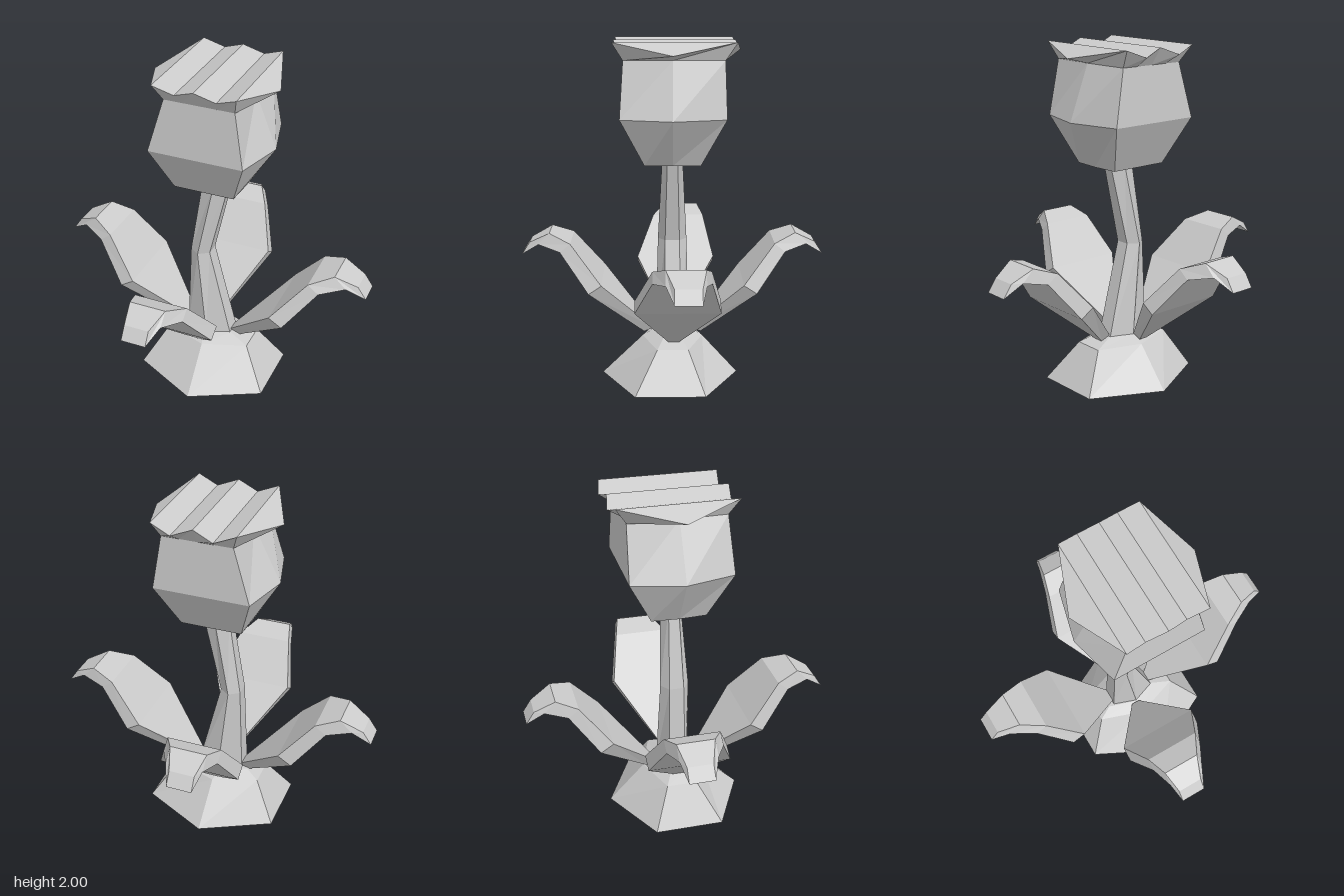
import * as THREE from 'three';

const material = new THREE.MeshStandardMaterial({ color: 0xcccccc, flatShading: true });

// Skin a list of equal-length rings (even point count), closing both ends with strips.
function loft(name, rings, flip = false) {
  const n = rings[0].length, tris = [];
  const quad = (a, b, c, d) => tris.push([a, b, c], [a, c, d]);
  for (let i = 0; i < rings.length - 1; i++)
    for (let j = 0; j < n; j++) {
      const k = (j + 1) % n;
      quad(rings[i][j], rings[i][k], rings[i + 1][k], rings[i + 1][j]);
    }
  const cap = (r) => {
    tris.push([r[n - 1], r[0], r[n - 2]], [r[n / 2 - 2], r[n / 2 - 1], r[n / 2]]);
    for (let j = 0; j < n / 2 - 2; j++) quad(r[j], r[j + 1], r[n - 3 - j], r[n - 2 - j]);
  };
  cap(rings[rings.length - 1]);
  cap([...rings[0]].reverse());
  if (flip) tris.forEach((t) => t.reverse());
  const geometry = new THREE.BufferGeometry();
  geometry.setAttribute('position', new THREE.Float32BufferAttribute(tris.flat(2), 3));
  geometry.computeVertexNormals();
  const mesh = new THREE.Mesh(geometry, material);
  mesh.name = name;
  return mesh;
}

// Six-sided ring with corners on the z axis.
function hexRing([y, cx, rx, rz, cz = 0]) {
  return Array.from({ length: 6 }, (_, i) => {
    const a = (i * Math.PI) / 3;
    return [cx + (rx * Math.sin(a)) / 0.866, y, cz + rz * Math.cos(a)];
  });
}

// Twelve-point head ring: five points along the front, a side tip, five along the back, a side tip.
function headRing({ y, x0, x1, front, back, tip0, tip1, tipY = y, dip = 0, dipZ = 0 }) {
  const row = (z) => [0, 1, 2, 3, 4].map((i) => {
    const low = i % 2;
    return [x0 + ((x1 - x0) * i) / 4, y - low * dip, z + low * dipZ];
  });
  return [...row(front), [tip1, tipY, 0], ...row(back).reverse(), [tip0, tipY, 0]];
}

// Leaf stations: upper edge (out, y), lower edge (out, y), side limits.
const leafStations = [
  [0.12, 0.28, 0.18, 0.255, -0.03, 0.02],
  [0.44, 0.6, 0.52, 0.55, -0.265, 0.215],
  [0.635, 0.825, 0.7, 0.775, -0.205, 0.115],
  [0.77, 0.873, 0.84, 0.805, -0.17, 0.045],
  [0.9, 0.808, 0.95, 0.735, -0.145, 0],
];

function leaf(name, place, flip) {
  const rings = leafStations.map(([uo, uy, lo, ly, s0, s1]) => [
    place(lo, ly, s0), place(uo, uy, s0), place(uo, uy, s1), place(lo, ly, s1),
  ]);
  return loft(name, rings, flip);
}

export function createModel() {
  const model = new THREE.Group();
  model.name = 'flower';

  // Mound of soil
  model.add(loft('mound', [
    [0, 0.01, 0.4, 0.405, 0.015],
    [0.23, 0, 0.26, 0.18],
    [0.27, -0.02, 0.16, 0.1],
  ].map(hexRing)));

  // Bent stem
  model.add(loft('stem', [
    [0.26, -0.005, 0.14, 0.1],
    [0.82, -0.065, 0.06, 0.085],
    [1.31, 0.03, 0.08, 0.06],
  ].map(hexRing)));

  // Flower head with a flared, zigzag lip
  model.add(loft('flowerHead', [
    { y: 1.305, x0: -0.17, x1: 0.19, front: 0.16, back: -0.16, tip0: -0.18, tip1: 0.2 },
    { y: 1.58, x0: -0.265, x1: 0.295, front: 0.295, back: -0.3, tip0: -0.34, tip1: 0.375 },
    { y: 1.9, x0: -0.17, x1: 0.24, front: 0.275, back: -0.29, tip0: -0.18, tip1: 0.25 },
    { y: 2, x0: -0.21, x1: 0.27, front: 0.335, back: -0.355, tip0: -0.35, tip1: 0.39,
      tipY: 1.935, dip: 0.045, dipZ: -0.022 },
  ].map(headRing)));

  // Four arching leaves
  const k = 0.94;
  model.add(leaf('leftLeaf', (o, y, s) => [o, y - 0.01, s], false));
  model.add(leaf('rightLeaf', (o, y, s) => [-o, y, s], true));
  model.add(leaf('frontLeaf', (o, y, s) => [s - 0.015, y, o * k], true));
  model.add(leaf('backLeaf', (o, y, s) => [s - 0.015, y, -o * k], false));

  return model;
}
